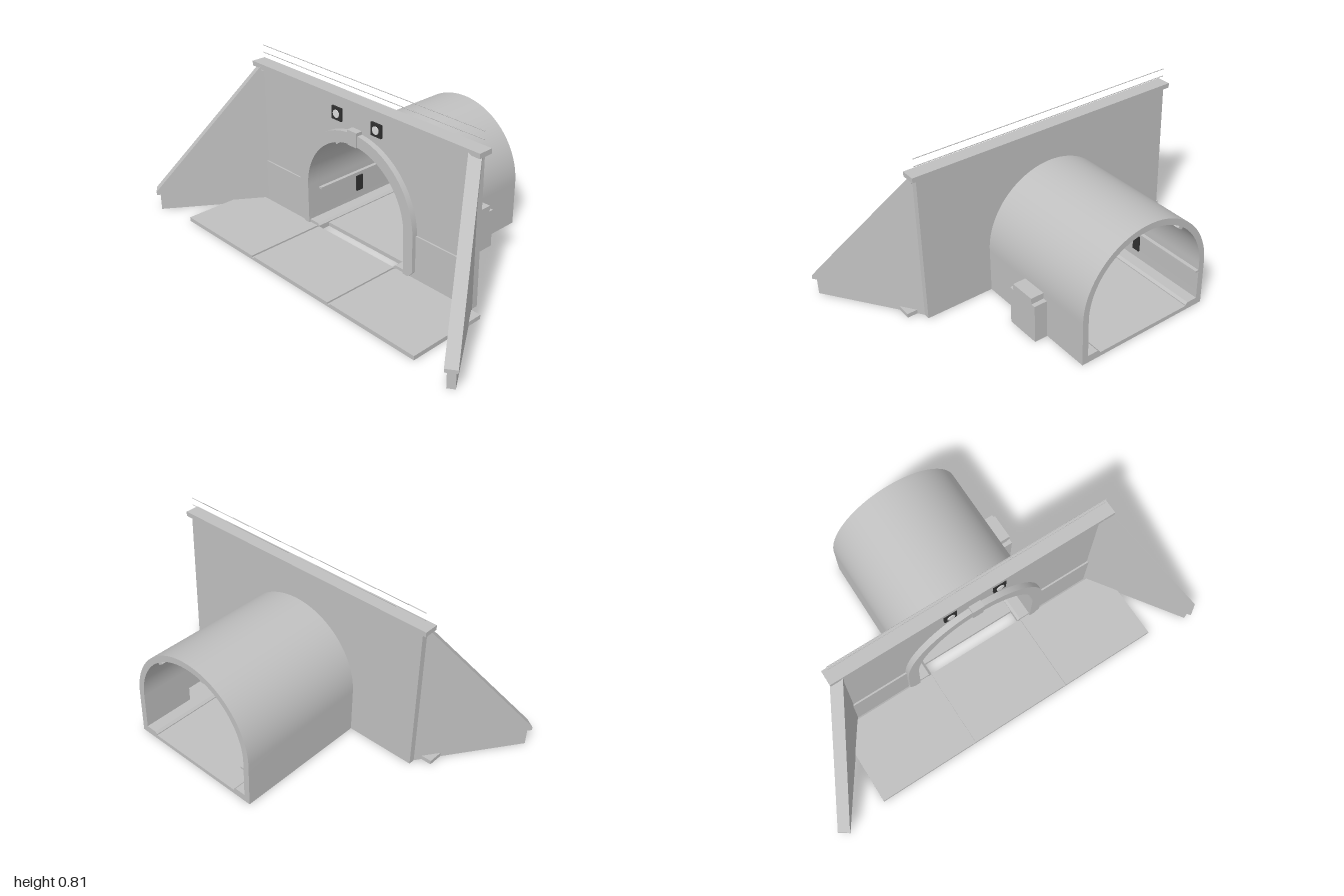
import * as THREE from 'three';
import { toCreasedNormals } from 'three/addons/utils/BufferGeometryUtils.js';

const SPRING = 0.22; // height where the arch begins
const INNER = 0.315; // half width of the opening
const BACK = -0.58;

export function createModel() {
  const model = new THREE.Group();
  model.name = 'tunnelPortal';

  const material = (name, color) => {
    const m = new THREE.MeshStandardMaterial({ color });
    m.name = name;
    return m;
  };
  const concrete = material('concrete', 0xc0c0c0);
  const dark = material('darkHousing', 0x303030);
  const lens = material('lampLens', 0xdcdcdc);

  const add = (name, geometry, mat = concrete, parent = model) => {
    const mesh = new THREE.Mesh(geometry, mat);
    mesh.name = name;
    parent.add(mesh);
    return mesh;
  };
  // Box given by its minimum and maximum on each axis
  const box = (name, x0, x1, y0, y1, z0, z1, mat) => {
    const mesh = add(name, new THREE.BoxGeometry(x1 - x0, y1 - y0, z1 - z0), mat);
    mesh.position.set((x0 + x1) / 2, (y0 + y1) / 2, (z0 + z1) / 2);
    return mesh;
  };
  const extrude = (name, shape, z0, z1, parent) => {
    const geometry = new THREE.ExtrudeGeometry(shape, { depth: z1 - z0, bevelEnabled: false, curveSegments: 40 });
    geometry.translate(0, 0, z0);
    return add(name, toCreasedNormals(geometry, 0.4), concrete, parent);
  };
  const polygon = (points) => new THREE.Shape(points.map(([x, y]) => new THREE.Vector2(x, y)));

  // Head wall with arched opening
  const wall = polygon([[INNER, 0], [0.685, 0], [0.685, 0.72], [-0.685, 0.72], [-0.685, 0], [-INNER, 0], [-INNER, SPRING]]);
  wall.absarc(0, SPRING, INNER, Math.PI, 0, true);
  extrude('headWall', wall, 0.08, 0.12);
  box('wallCap', -0.708, 0.708, 0.715, 0.738, 0.067, 0.138);

  // Arch surround with chamfered feet
  const ring = polygon([[0.345, 0.02], [0.37, 0.045], [0.37, SPRING]]);
  ring.absarc(0, SPRING, 0.37, 0, Math.PI, false);
  ring.lineTo(-0.37, 0.045);
  ring.lineTo(-0.345, 0.02);
  ring.lineTo(-INNER, 0.02);
  ring.lineTo(-INNER, SPRING);
  ring.absarc(0, SPRING, INNER, Math.PI, 0, true);
  ring.lineTo(INNER, 0.02);
  extrude('archSurround', ring, 0.115, 0.148);
  extrude('keystone', polygon([[-0.026, 0.533], [0.026, 0.533], [0.03, 0.605], [-0.03, 0.605]]), 0.115, 0.154);

  // Tunnel vault and right wall
  const vault = polygon([[INNER, SPRING], [0.345, SPRING]]);
  vault.absarc(0, SPRING, 0.345, 0, Math.PI, false);
  vault.lineTo(-0.345, 0);
  vault.lineTo(-INNER, 0);
  vault.lineTo(-INNER, SPRING);
  vault.absarc(0, SPRING, INNER, Math.PI, 0, true);
  extrude('tunnelVault', vault, BACK, 0.08);

  // Left tunnel wall around the refuge niche
  box('tunnelWallFront', INNER, 0.345, 0, SPRING, -0.185, 0.08);
  box('tunnelWallRear', INNER, 0.345, 0, SPRING, BACK, -0.32);
  box('tunnelWallLintel', INNER, 0.345, 0.19, SPRING, -0.32, -0.185);
  box('nicheBack', 0.395, 0.41, 0, 0.19, -0.34, -0.165);
  box('nicheFrontSide', 0.345, 0.395, 0, 0.19, -0.185, -0.165);
  box('nicheRearSide', 0.345, 0.395, 0, 0.19, -0.34, -0.32);
  box('nicheRoof', 0.345, 0.41, 0.19, 0.22, -0.317, -0.188);
  box('nicheFloor', 0.315, 0.395, 0, 0.02, -0.32, -0.185);

  // Floors, with gutters dividing the apron
  box('tunnelFloor', -INNER, INNER, 0, 0.02, BACK, 0.08);
  box('apronCentre', -0.25, 0.25, 0, 0.02, 0.14, 0.533);

  for (const side of [-1, 1]) {
    const label = side > 0 ? 'left' : 'right';
    const sideBox = (name, x0, x1, ...rest) =>
      box(label + name, Math.min(side * x0, side * x1), Math.max(side * x0, side * x1), ...rest);

    sideBox('Apron', 0.265, 0.755, 0, 0.02, 0.14, 0.533);
    sideBox('Gutter', 0.25, 0.265, 0, 0.012, 0.14, 0.533);
    sideBox('Plinth', 0.37, 0.67, 0, 0.225, 0.115, 0.128);

    // Kerb along the tunnel wall
    const kerb = [[0.25, 0], [INNER, 0], [INNER, 0.035], [0.262, 0.035], [0.25, 0.025]];
    extrude(label + 'Kerb', polygon(kerb.map(([x, y]) => [side * x, y])), BACK, 0.14);

    // Splayed wing wall with sloping coping
    const wing = new THREE.Group();
    wing.name = label + 'Wing';
    wing.position.set(0.67 * side, 0, 0.12);
    wing.rotation.y = side > 0 ? -0.97 : 0.97 - Math.PI;
    model.add(wing);
    extrude(label + 'WingWall', polygon([[-0.015, 0], [0.528, 0], [0.528, 0.09], [0.515, 0.09], [0, 0.7], [-0.015, 0.7]]),
      -0.018, 0.018, wing);
    extrude(label + 'WingCoping', polygon([[0, 0.688], [0.515, 0.085], [0.545, 0.085], [0.545, 0.102], [0, 0.728]]),
      -0.0275, 0.0275, wing);

    // Signal lamp above the arch
    sideBox('LampHousing', 0.094, 0.156, 0.612, 0.674, 0.115, 0.13, dark);
    const lamp = add(label + 'LampLens', new THREE.CylinderGeometry(0.019, 0.019, 0.008, 16), lens);
    lamp.rotation.x = Math.PI / 2;
    lamp.position.set(side * 0.125, 0.643, 0.13);

    // Ceiling lights in a row
    for (let i = 0; i < 4; i++) {
      const light = add(label + 'CeilingLight', new THREE.BoxGeometry(0.026, 0.014, 0.1));
      light.position.set(side * 0.19, SPRING + 0.243, 0.02 - i * 0.18);
      light.rotation.z = -side * 0.664;
    }
  }

  // Fittings on the right tunnel wall
  box('cableTray', -INNER, -0.297, 0.18, 0.19, BACK, 0.08);
  box('wallPanel', -INNER, -0.307, 0.08, 0.16, -0.2, -0.16, dark);

  // Thin guard rails over the cap
  for (const y of [0.775, 0.811]) {
    const rail = add('guardRail', new THREE.CylinderGeometry(0.0018, 0.0018, 1.37, 8));
    rail.rotation.z = Math.PI / 2;
    rail.position.set(0, y, 0.088);
  }
  return model;
}
